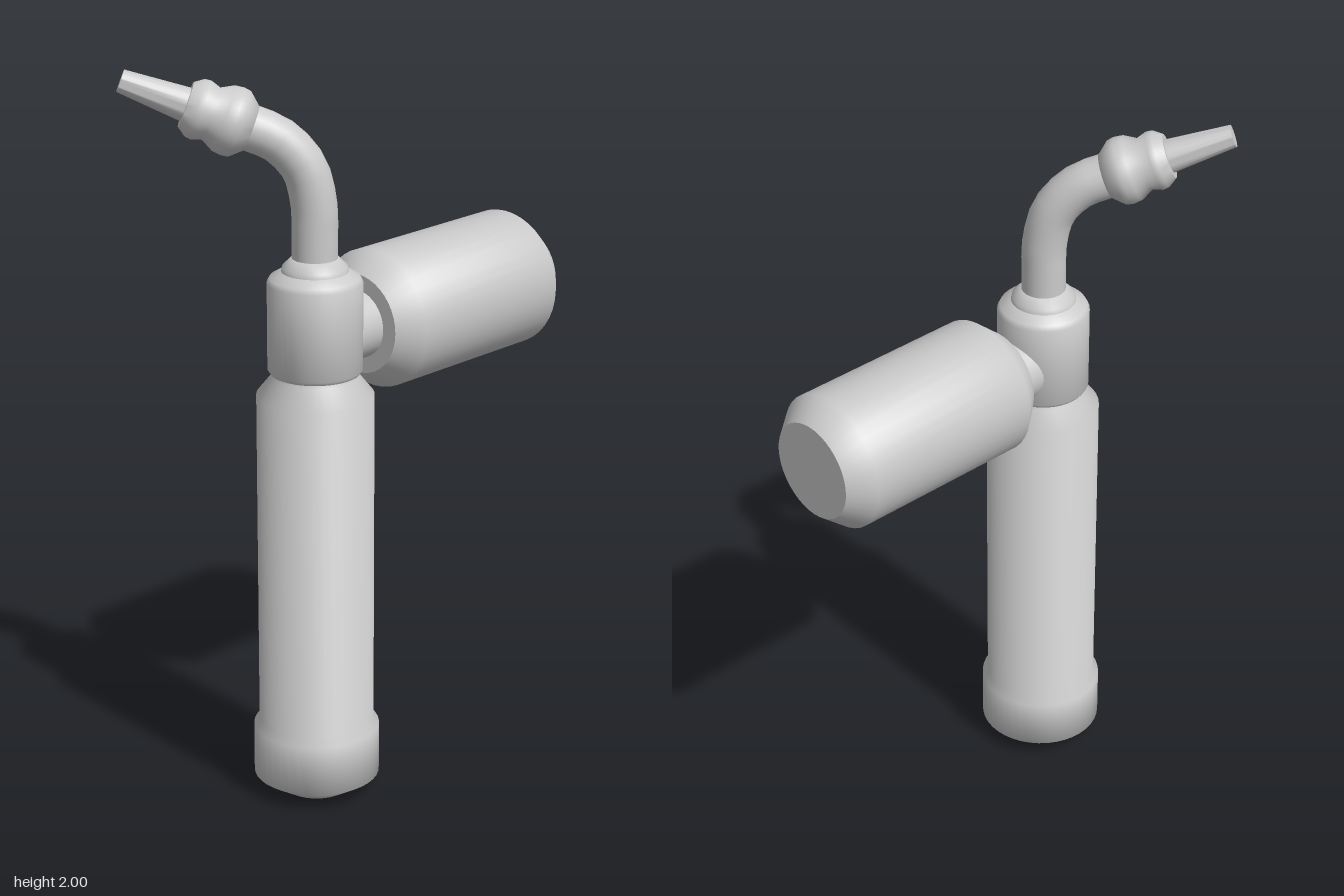
import * as THREE from 'three';
import { toCreasedNormals } from 'three/addons/utils/BufferGeometryUtils.js';

const material = new THREE.MeshStandardMaterial({ color: 0xcccccc });
const UP = new THREE.Vector3(0, 1, 0);

// Turned part: profile of [radius, distance along axis], placed at an origin along a direction
function turned(name, profile, crease, origin, direction = UP) {
  const points = profile.map(([r, h]) => new THREE.Vector2(r, h));
  const geometry = toCreasedNormals(new THREE.LatheGeometry(points, 40), crease);
  const mesh = new THREE.Mesh(geometry, material);
  mesh.name = name;
  mesh.position.copy(origin);
  mesh.quaternion.setFromUnitVectors(UP, direction.clone().normalize());
  return mesh;
}

export function createModel() {
  const model = new THREE.Group();
  model.name = 'blowtorch';
  const cx = -0.09, cz = 0.25;
  const base = new THREE.Vector3(cx, 0, cz);

  // Upright handle with a bevelled foot cap
  model.add(turned('handle', [
    [0, 0], [0.09, 0], [0.17, 0.05], [0.17, 0.19], [0.155, 0.21],
    [0.155, 1.135], [0.115, 1.185], [0.11, 1.21], [0, 1.21],
  ], 1.1, base));

  // Valve collar on top of the handle
  model.add(turned('valveCollar', [
    [0, 1.195], [0.118, 1.195], [0.125, 1.205], [0.125, 1.44], [0.118, 1.453],
    [0.088, 1.47], [0.085, 1.482], [0.062, 1.505], [0, 1.505],
  ], 0.8, base));

  // Gas tank lying diagonally behind the collar, and its short connector
  const tankOrigin = new THREE.Vector3(cx, 1.29, cz);
  const tankDirection = new THREE.Vector3(1, 0, -1);
  model.add(turned('gasTank', [
    [0, 0.161], [0.135, 0.161], [0.1885, 0.225], [0.1885, 0.753], [0.135, 0.818], [0, 0.818],
  ], 0.8, tankOrigin, tankDirection));
  model.add(turned('tankConnector', [
    [0, 0.02], [0.092, 0.02], [0.092, 0.18], [0, 0.18],
  ], 0.8, tankOrigin, tankDirection));

  // Bent neck pipe
  const path = new THREE.CatmullRomCurve3([
    [-0.09, 1.48], [-0.09, 1.56], [-0.092, 1.648], [-0.117, 1.745], [-0.18, 1.815], [-0.25, 1.847], [-0.29, 1.862],
  ].map(([x, y]) => new THREE.Vector3(x, y, cz)));
  const neck = new THREE.Mesh(new THREE.TubeGeometry(path, 12, 0.06, 28), material);
  neck.name = 'neckPipe';
  model.add(neck);

  // Burner head with two swellings, then the tapered nozzle
  const headOrigin = new THREE.Vector3(-0.25, 1.847, cz);
  const headDirection = new THREE.Vector3(-0.935, 0.355, 0);
  model.add(turned('burnerHead', [
    [0, 0], [0.06, 0], [0.088, 0.032], [0.091, 0.05], [0.088, 0.075],
    [0.07, 0.108], [0.079, 0.135], [0.077, 0.152], [0.06, 0.176], [0, 0.176],
  ], 0.9, headOrigin, headDirection));
  model.add(turned('nozzle', [
    [0, 0.16], [0.046, 0.16], [0.03, 0.351], [0, 0.351],
  ], 0.8, headOrigin, headDirection));

  return model;
}
